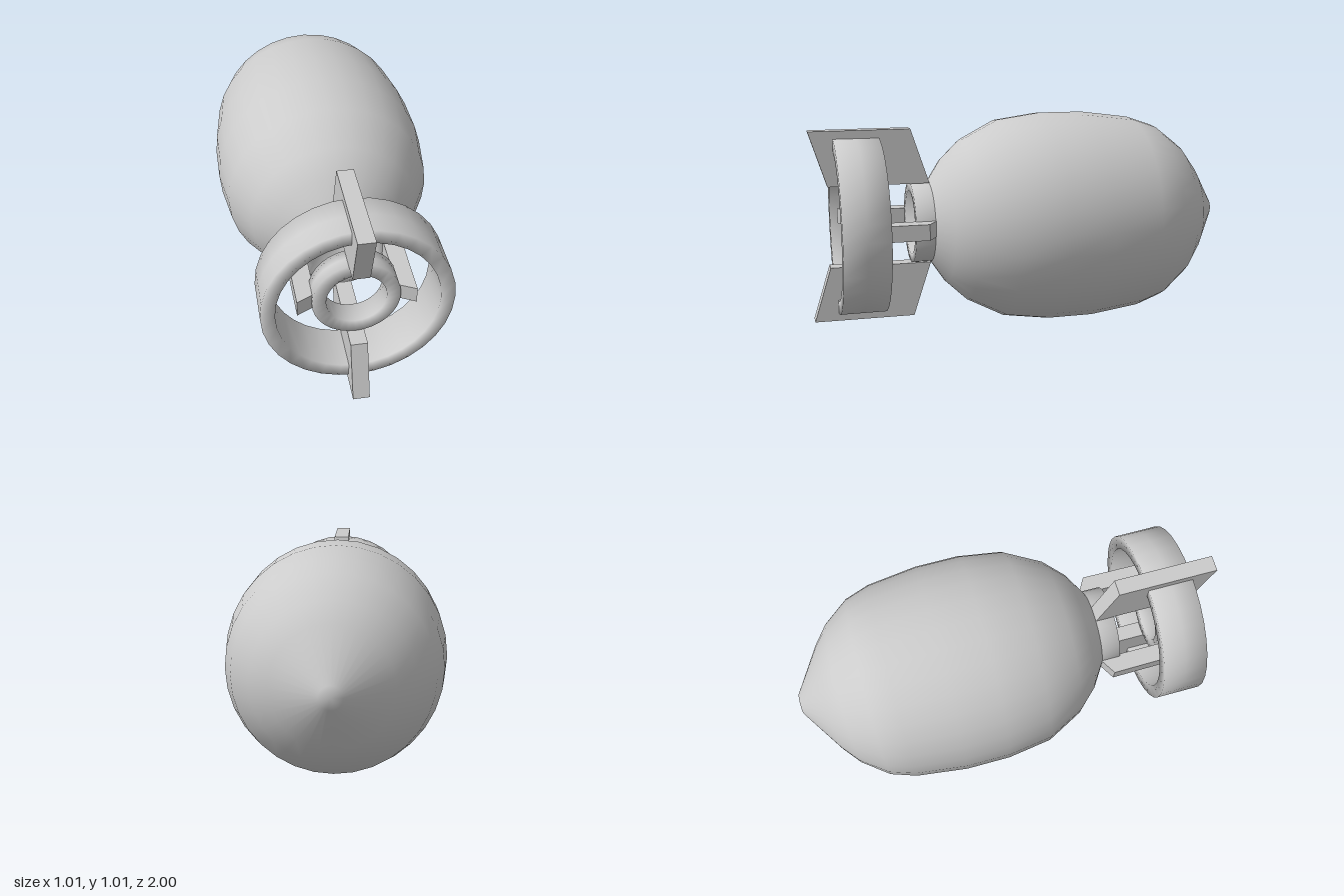
import * as THREE from 'three';

const AXIS_Y = 0.507;
const SEGMENTS = 32;

export function createModel() {
  const model = new THREE.Group();
  model.name = 'finnedBomb';
  const material = new THREE.MeshStandardMaterial({ color: 0xcccccc });

  const add = (name, geometry) => {
    const mesh = new THREE.Mesh(geometry, material);
    mesh.name = name;
    mesh.position.y = AXIS_Y;
    model.add(mesh);
    return mesh;
  };

  // Revolve [radius, z] pairs around the long axis
  const revolve = (profile) => new THREE.LatheGeometry(
    profile.map(([r, z]) => new THREE.Vector2(r, z)), SEGMENTS).rotateX(Math.PI / 2);

  // Flat plate from [z, radius] corners, centred on its thickness
  const plate = (corners, thickness) => {
    const shape = new THREE.Shape(corners.map(([z, r]) => new THREE.Vector2(z, r)));
    return new THREE.ExtrudeGeometry(shape, { depth: thickness, bevelEnabled: false })
      .translate(0, 0, -thickness / 2)
      .rotateY(-Math.PI / 2);
  };

  // Closed band, its seam in the middle of the outer wall for even shading
  const band = (inner, outer, back, front) => {
    const mid = (back + front) / 2;
    return revolve([[outer, mid], [outer, front], [inner, front],
      [inner, back], [outer, back], [outer, mid]]);
  };

  // Egg-shaped body, nose at the back, short tail stub with a shallow recess
  add('body', revolve([
    [0, -1], [0.05, -1], [0.26, -0.86], [0.345, -0.79], [0.435, -0.67],
    [0.475, -0.55], [0.505, -0.31], [0.505, -0.1], [0.475, 0.11],
    [0.385, 0.285], [0.295, 0.38], [0.19, 0.45],
  ]));
  add('tailStub', revolve([
    [0.19, 0.44], [0.19, 0.54], [0.15, 0.54], [0.11, 0.49], [0, 0.46],
  ]));

  // Tail rings
  add('outerRing', band(0.35, 0.412, 0.68, 0.89));
  add('innerRing', band(0.13, 0.19, 0.74, 0.84));

  // Swept fins above and below, short struts left and right
  const fin = plate([[0.45, 0.19], [0.92, 0.19], [1, 0.445], [0.535, 0.447]], 0.074);
  const strut = plate([[0.44, 0.175], [0.82, 0.175], [0.86, 0.255], [0.49, 0.26]], 0.074);
  [['topFin', fin, 0], ['bottomFin', fin, Math.PI],
    ['leftStrut', strut, -Math.PI / 2], ['rightStrut', strut, Math.PI / 2],
  ].forEach(([name, geometry, angle]) => {
    add(name, geometry).rotation.z = angle;
  });

  return model;
}
